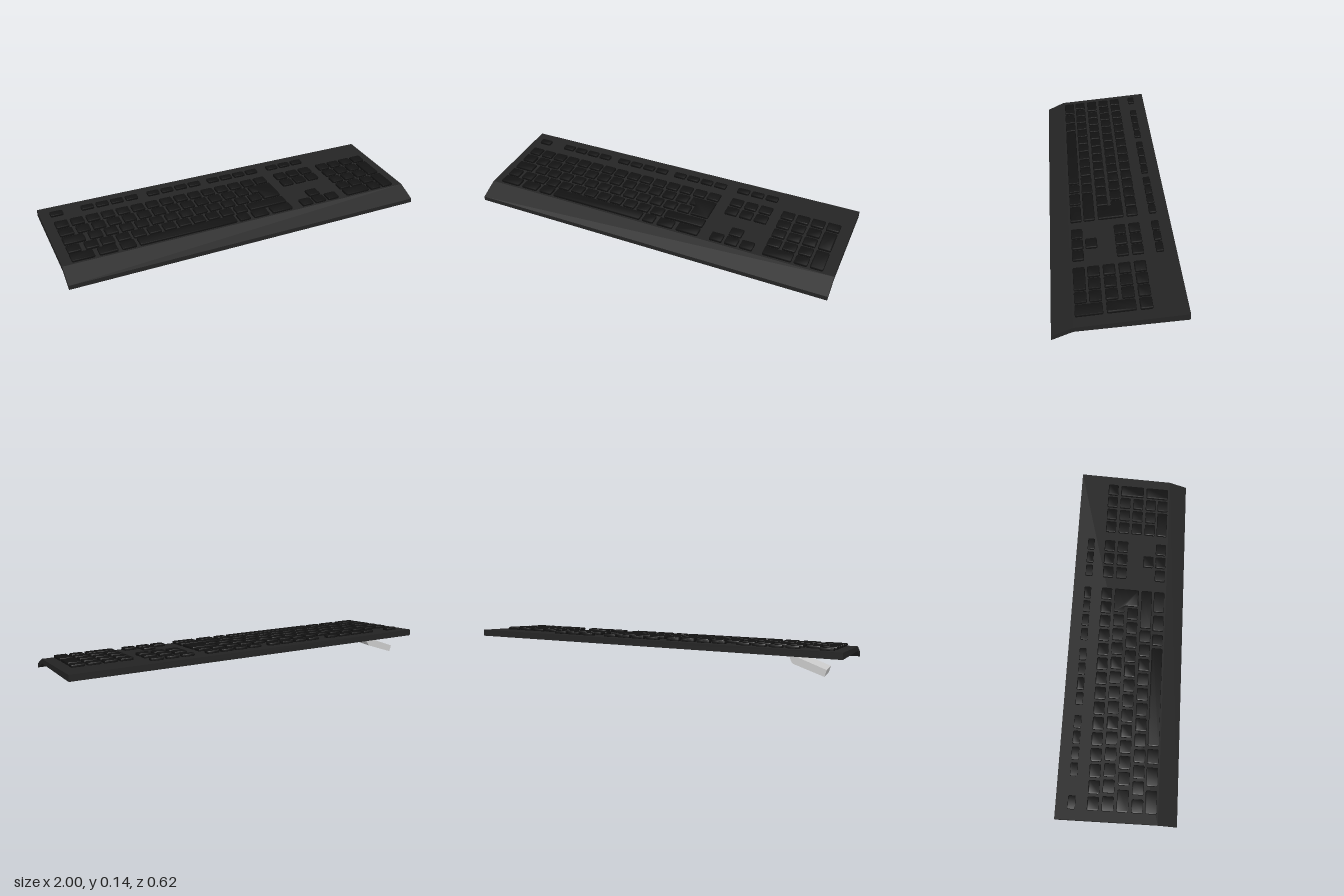
import * as THREE from 'three';
import { toCreasedNormals } from 'three/addons/utils/BufferGeometryUtils.js';

const plateMat = new THREE.MeshStandardMaterial({ color: 0x242424 });
const keyMat = new THREE.MeshStandardMaterial({ color: 0x121212 });
const footMat = new THREE.MeshStandardMaterial({ color: 0xcccccc });

const TILT = Math.atan(0.049 / 0.52); // slope of the key deck
const BEVEL = 0.005;
const PITCH = 0.0827, KEY_W = 0.069;
// front and back z of the rows: function row, then rows 1 to 5
const ROWS = [[-0.249, -0.211], [-0.152, -0.094], [-0.078, -0.019], [-0.003, 0.056], [0.072, 0.131], [0.142, 0.2]];

// polygon with rounded corners
function roundedShape(pts, r) {
  const v = pts.map(([x, y]) => new THREE.Vector2(x, y));
  const shape = new THREE.Shape();
  v.forEach((p, i) => {
    const prev = v[(i + v.length - 1) % v.length], next = v[(i + 1) % v.length];
    const a = p.clone().add(prev.clone().sub(p).setLength(r));
    const b = p.clone().add(next.clone().sub(p).setLength(r));
    if (i === 0) shape.moveTo(a.x, a.y); else shape.lineTo(a.x, a.y);
    shape.quadraticCurveTo(p.x, p.y, b.x, b.y);
  });
  shape.closePath();
  return shape;
}

// key cap from an outline given in x and z
function keyCap(name, outline) {
  const pts = outline.map(([x, z]) => [x, -z / Math.cos(TILT)]);
  const geo = new THREE.ExtrudeGeometry(roundedShape(pts, 0.007), {
    depth: 0.006, curveSegments: 2, bevelEnabled: true,
    bevelThickness: BEVEL, bevelSize: BEVEL, bevelOffset: -BEVEL, bevelSegments: 2,
  });
  geo.translate(0, 0, 0.0035);
  const mesh = new THREE.Mesh(toCreasedNormals(geo, 0.6), keyMat);
  mesh.name = name;
  return mesh;
}

// outline extruded along an axis-aligned depth
function extrude(shape, depth) {
  return new THREE.ExtrudeGeometry(shape, { depth, bevelEnabled: false, curveSegments: 8 });
}

export function createModel() {
  const model = new THREE.Group();
  model.name = 'keyboard';

  // bent base plate with palm lip, profile in z and y
  const profile = [[0.31, 0.013], [0.31, 0.036], [0.21, 0.084], [-0.31, 0.133], [-0.31, 0.099], [0.21, 0.059]];
  const plateGeo = extrude(new THREE.Shape(profile.map(([z, y]) => new THREE.Vector2(-z, y))), 2);
  plateGeo.rotateY(Math.PI / 2).translate(-1, 0, 0);
  const plate = new THREE.Mesh(plateGeo, plateMat);
  plate.name = 'basePlate';
  model.add(plate);

  // keys lie on the sloping deck
  const keys = new THREE.Group();
  keys.name = 'keys';
  keys.position.y = 0.1038;
  keys.rotation.x = -Math.PI / 2 + TILT;
  model.add(keys);

  const key = (name, x0, x1, row, lastRow = row) => {
    const zb = ROWS[row][0], zf = ROWS[lastRow][1];
    keys.add(keyCap(name, [[x0, zf], [x1, zf], [x1, zb], [x0, zb]]));
  };
  const run = (name, x, count, row, pitch = PITCH) => {
    for (let i = 0; i < count; i++) key(name, x + i * pitch, x + i * pitch + KEY_W, row);
  };

  // function row
  run('escapeKey', -0.949, 1, 0);
  for (const x of [-0.783, -0.409, -0.045]) run('functionKey', x, 4, 0);

  // main block
  run('numberKey', -0.949, 15, 1, 0.0825);
  key('tabKey', -0.949, -0.874, 2);
  run('letterKey', -0.858, 12, 2);
  key('capsKey', -0.949, -0.837, 3);
  run('letterKey', -0.815, 12, 3);
  key('leftShiftKey', -0.949, -0.88, 4);
  run('letterKey', -0.858, 11, 4);
  key('rightShiftKey', 0.051, 0.275, 4);
  for (const [x0, x1] of [[-0.949, -0.832], [-0.81, -0.714], [-0.695, -0.618], [-0.045, 0.019], [0.04, 0.131], [0.152, 0.275]])
    key('modifierKey', x0, x1, 5);
  key('spaceBar', -0.602, -0.061, 5);

  // L-shaped enter key over two rows
  const [eb, em, ef] = [ROWS[2][0], ROWS[2][1], ROWS[3][1]];
  keys.add(keyCap('enterKey', [[0.174, ef], [0.275, ef], [0.275, eb], [0.136, eb], [0.136, em], [0.174, em]]));

  // navigation and arrow keys
  for (const row of [0, 1, 2]) run('navigationKey', 0.34, 3, row);
  run('arrowKey', 0.4227, 1, 4);
  run('arrowKey', 0.34, 3, 5);

  // number pad
  run('padKey', 0.628, 4, 1, 0.082);
  for (const row of [2, 3, 4]) run('padKey', 0.628, 3, row, 0.082);
  key('padZeroKey', 0.628, 0.779, 5);
  key('padPointKey', 0.792, 0.861, 5);
  key('padPlusKey', 0.874, 0.941, 2, 3);
  key('padEnterKey', 0.874, 0.941, 4, 5);

  // single fold-out foot under the back corner, bent up into the plate
  const foot = new THREE.Shape();
  foot.moveTo(-0.908, 0);
  foot.lineTo(-0.76, 0.051);
  foot.quadraticCurveTo(-0.738, 0.06, -0.735, 0.112);
  foot.lineTo(-0.77, 0.112);
  foot.quadraticCurveTo(-0.772, 0.088, -0.79, 0.081);
  foot.lineTo(-0.918, 0.034);
  foot.closePath();
  const footGeo = extrude(foot, 0.116);
  footGeo.translate(0, 0, -0.248);
  const footMesh = new THREE.Mesh(toCreasedNormals(footGeo, 0.6), footMat);
  footMesh.name = 'foldOutFoot';
  model.add(footMesh);

  return model;
}
